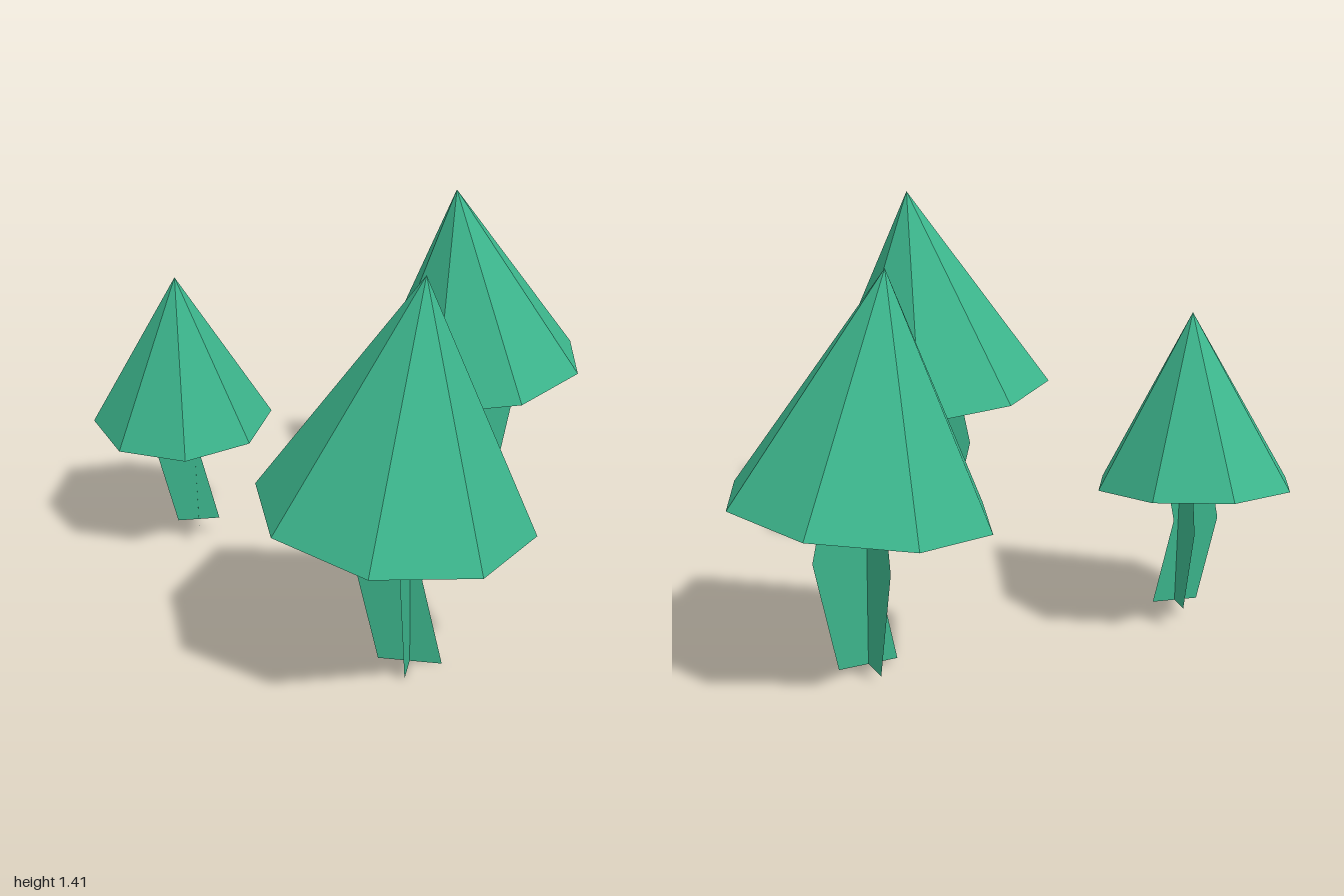
import * as THREE from 'three';

const green = new THREE.MeshStandardMaterial({ color: 0x3cb58c, flatShading: true, side: THREE.DoubleSide });
green.name = 'leafGreen';

// Flat strip with a sideways kink at half height
function trunkStrip() {
  const half = 0.104, kink = 0.083, mid = 0.382, top = 0.77;
  const shape = new THREE.Shape([
    [-half, 0], [half, 0], [half + kink, mid], [half, top], [-half, top], [-half + kink, mid],
  ].map(([x, y]) => new THREE.Vector2(x, y)));
  return new THREE.ShapeGeometry(shape);
}

// Eight-sided canopy, open underneath, rim at its origin
const canopyHeight = 0.756;
const canopyGeometry = new THREE.ConeGeometry(0.439, canopyHeight, 8, 1, true);
canopyGeometry.translate(0, canopyHeight / 2, 0);
const stripGeometry = trunkStrip();

function makeTree(name, x, y, z, turn, scale) {
  const tree = new THREE.Group();
  tree.name = name;

  // Trunk of two upright strips crossing at right angles
  const trunk = new THREE.Group();
  trunk.name = 'trunk';
  [0, Math.PI / 2].forEach((angle, i) => {
    const strip = new THREE.Mesh(stripGeometry, green);
    strip.name = i ? 'trunkStripAcross' : 'trunkStrip';
    strip.rotation.y = angle;
    trunk.add(strip);
  });

  // Canopy leaning slightly to one side
  const canopy = new THREE.Mesh(canopyGeometry, green);
  canopy.name = 'canopy';
  canopy.position.set(0.04, 0.565, -0.045);
  canopy.rotation.z = 0.123;

  tree.add(trunk, canopy);
  tree.position.set(x, y, z);
  tree.rotation.y = THREE.MathUtils.degToRad(turn);
  tree.scale.setScalar(scale);
  return tree;
}

export function createModel() {
  const model = new THREE.Group();
  model.name = 'treeCluster';
  model.add(
    makeTree('mediumTree', 0.505, 0.026, -0.515, 0, 1),
    makeTree('largeTree', -0.178, 0.002, 0.528, 149, 1.07),
    makeTree('smallTree', -0.626, 0.082, -0.622, 77, 0.78),
  );
  return model;
}
